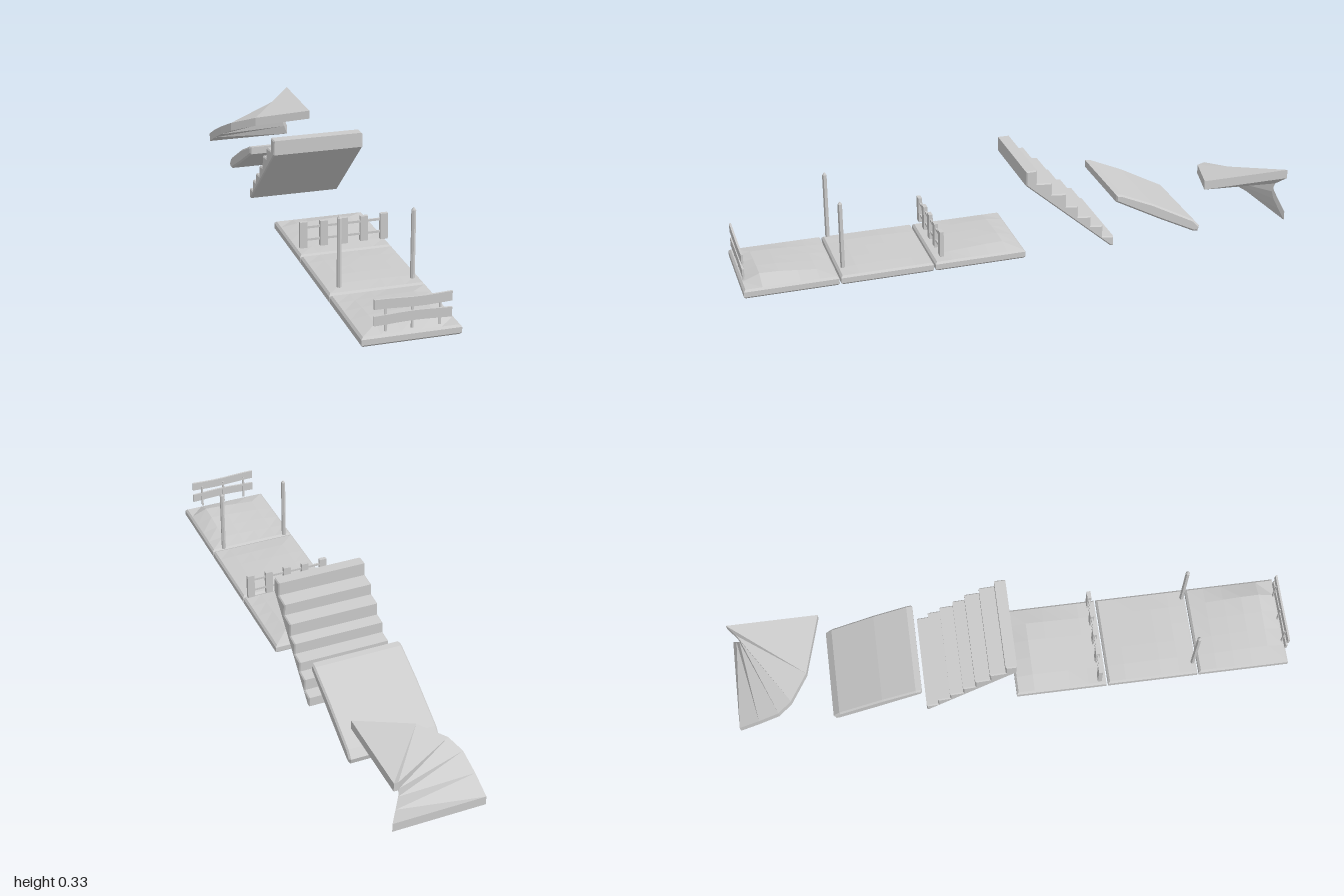
import * as THREE from 'three';

const material = new THREE.MeshStandardMaterial({ color: 0xcccccc, flatShading: true, side: THREE.DoubleSide });

function add(parent, name, geometry, x = 0, y = 0, z = 0) {
  const mesh = new THREE.Mesh(geometry, material);
  mesh.name = name;
  mesh.position.set(x, y, z);
  parent.add(mesh);
  return mesh;
}

const box = (w, h, d) => new THREE.BoxGeometry(w, h, d);

// Chamfered ground tile whose top rises into a soft mound
function tileGeometry(bump, bx, bz) {
  const w = 0.327, h = 0.033, c = 0.007, n = 5;
  const geo = new THREE.BoxGeometry(w, h, w, n, 3, n);
  const p = geo.attributes.position;
  const levels = [0, c, h - c, h];
  const lim = w / 2 - c;
  for (let i = 0; i < p.count; i++) {
    const level = Math.round((p.getY(i) / h + 0.5) * 3);
    let x = p.getX(i), z = p.getZ(i), y = levels[level];
    if (level === 0 || level === 3) {
      x = THREE.MathUtils.clamp(x, -lim, lim);
      z = THREE.MathUtils.clamp(z, -lim, lim);
    }
    const inside = Math.abs(x) < lim - 0.01 && Math.abs(z) < lim - 0.01;
    if (level === 3 && inside) y += bump * Math.max(0.1, 1 - Math.hypot((x - bx) * 0.8, z - bz) / 0.26);
    p.setXYZ(i, x, y, z);
  }
  geo.computeVertexNormals();
  return geo;
}

// Side profile of [z, y] points, extruded across the width with chamfered edges
function profileGeometry(points, bevel) {
  const shape = new THREE.Shape(points.map(([z, y]) => new THREE.Vector2(-z, y)));
  const geo = new THREE.ExtrudeGeometry(shape, {
    depth: 0.328 - 2 * bevel, bevelSize: bevel, bevelThickness: bevel, bevelOffset: -bevel, bevelSegments: 1,
  });
  geo.rotateY(Math.PI / 2);
  geo.translate(-0.166 + bevel, 0, 0);
  return geo;
}

// Quarter-turn ramp: quad cross-sections climbing around one corner
function turningRampGeometry() {
  const cx = 0.163, cz = -1, thick = 0.033;
  const sections = [ // outer x, outer z, underside y, inner pull-in
    [-0.167, -1, 0.003, 0], [-0.163, -0.925, 0.043, 0.017], [-0.155, -0.85, 0.08, 0.032],
    [-0.125, -0.80, 0.108, 0.038], [-0.04, -0.735, 0.142, 0.03], [0.163, -0.673, 0.172, 0],
  ];
  const pos = [], idx = [];
  for (const [x, z, y, d] of sections) {
    pos.push(x, y, z, x, y + thick, z, cx - d, y + thick, cz + d, cx - d, y, cz + d);
  }
  for (let s = 0; s < sections.length - 1; s++) {
    for (let k = 0; k < 4; k++) {
      const a = s * 4 + k, b = s * 4 + (k + 1) % 4;
      idx.push(a, a + 4, b + 4, a, b + 4, b);
    }
  }
  const e = (sections.length - 1) * 4;
  idx.push(0, 1, 2, 0, 2, 3, e, e + 2, e + 1, e, e + 3, e + 2);
  const geo = new THREE.BufferGeometry();
  geo.setAttribute('position', new THREE.Float32BufferAttribute(pos, 3));
  geo.setIndex(idx);
  const flat = geo.toNonIndexed();
  flat.computeVertexNormals();
  return flat;
}

// Plank with a slight sag along its length
function plankGeometry(phase) {
  const geo = new THREE.BoxGeometry(0.252, 0.032, 0.007, 6, 1, 1);
  const p = geo.attributes.position;
  for (let i = 0; i < p.count; i++) {
    p.setY(i, p.getY(i) + 0.0025 * Math.cos(p.getX(i) * 22 + phase));
  }
  geo.computeVertexNormals();
  return geo;
}

export function createModel() {
  const model = new THREE.Group();
  model.name = 'pathPieces';

  // Three ground tiles in a row
  [[0.83, 0.026, 0.09, 0.075], [0.497, 0.007, -0.05, 0.03], [0.164, 0.016, 0.04, -0.09]].forEach(
    ([z, bump, bx, bz]) => add(model, 'groundTile', tileGeometry(bump, bx, bz), -0.003, 0, z));

  // Plank fence on the front tile
  const plankFence = new THREE.Group();
  plankFence.name = 'plankFence';
  model.add(plankFence);
  for (const x of [-0.086, 0, 0.09]) add(plankFence, 'fencePost', box(0.007, 0.09, 0.005), x, 0.086, 0.982);
  add(plankFence, 'lowerPlank', plankGeometry(0), 0.001, 0.083, 0.986);
  add(plankFence, 'upperPlank', plankGeometry(2.5), 0.001, 0.133, 0.986);

  // Two tall pointed poles on the middle tile
  for (const x of [-0.128, 0.122]) {
    const pole = new THREE.Group();
    pole.name = 'pole';
    pole.position.set(x, 0, 0.646);
    model.add(pole);
    add(pole, 'poleShaft', new THREE.CylinderGeometry(0.008, 0.008, 0.238, 6), 0, 0.168, 0);
    add(pole, 'poleTip', new THREE.CylinderGeometry(0.002, 0.008, 0.008, 6), 0, 0.291, 0);
  }

  // Picket fence on the back tile
  const picketFence = new THREE.Group();
  picketFence.name = 'picketFence';
  model.add(picketFence);
  for (let i = 0; i < 5; i++) {
    add(picketFence, 'picket', box(0.027, 0.094 - (i % 2) * 0.004, 0.014), -0.147 + i * 0.0718, 0.097, 0.302);
  }
  for (const y of [0.078, 0.123]) add(picketFence, 'picketRail', box(0.287, 0.008, 0.006), -0.003, y, 0.302);

  // Stairs with an open, sloping underside
  const treadEnds = [-0.04, -0.095, -0.148, -0.192, -0.24, -0.285, -0.327];
  const treadHeights = [0.333, 0.283, 0.235, 0.182, 0.135, 0.093, 0.045];
  const profile = [[0, 0.28], [0, 0.333]];
  treadEnds.forEach((z, i) => {
    profile.push([z, treadHeights[i] - (i ? 0.005 : 0)]);
    if (i < 6) profile.push([z, treadHeights[i + 1]]);
  });
  profile.push([-0.327, 0.004], [-0.317, 0.004]);
  const stairs = profileGeometry(profile, 0.004);
  const p = stairs.attributes.position;
  for (let i = 0; i < p.count; i++) p.setX(i, p.getX(i) * (1 + 0.12 * (0.333 - p.getY(i))));
  stairs.computeVertexNormals();
  add(model, 'stairs', stairs);

  // Straight sloping ramp
  add(model, 'slopingRamp', profileGeometry([
    [-0.336, 0.17], [-0.336, 0.197], [-0.358, 0.194], [-0.48, 0.14], [-0.64, 0.054],
    [-0.663, 0.028], [-0.658, 0.008], [-0.64, 0.01], [-0.51, 0.076],
  ], 0.006));

  // Turning ramp
  add(model, 'turningRamp', turningRampGeometry());

  return model;
}
